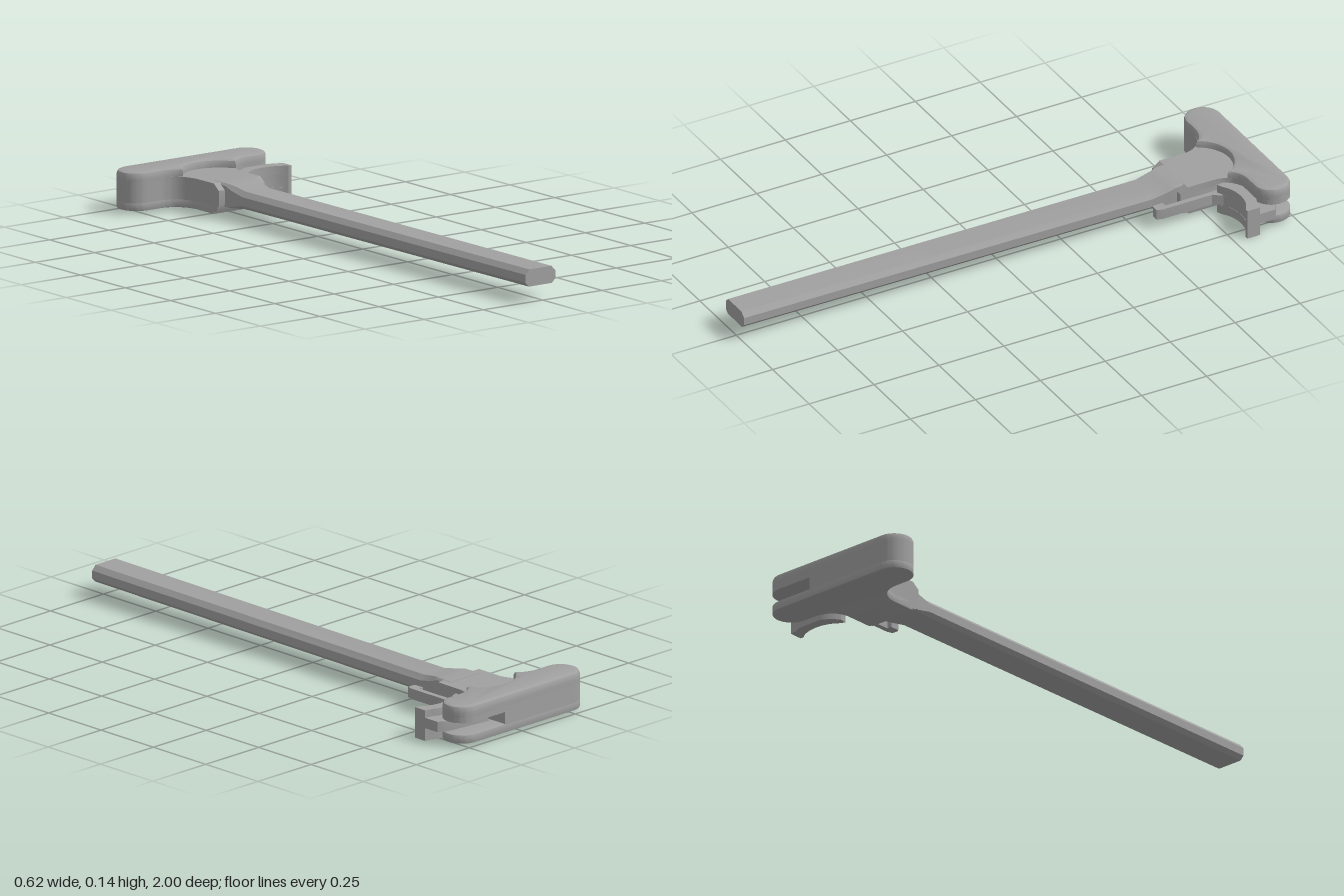
import * as THREE from 'three';
import { toCreasedNormals } from 'three/addons/utils/BufferGeometryUtils.js';

const metal = new THREE.MeshStandardMaterial({ color: 0xa0a0a0 });
metal.name = 'grey metal';

function part(name, geometry) {
  const mesh = new THREE.Mesh(toCreasedNormals(geometry, 0.5), metal);
  mesh.name = name;
  return mesh;
}

// Horizontal slab: plan drawn as (x, distance towards the back), from y0 to y1
function slab(name, shape, y0, y1, bevel = 0) {
  const g = new THREE.ExtrudeGeometry(shape, {
    depth: y1 - y0 - 2 * bevel, curveSegments: 14, bevelEnabled: bevel > 0,
    bevelSize: bevel, bevelThickness: bevel, bevelOffset: -bevel, bevelSegments: 2,
  });
  g.rotateX(-Math.PI / 2);
  g.translate(0, y0 + bevel, 0);
  return part(name, g);
}

function polygon(points) {
  return new THREE.Shape(points.map(([x, y]) => new THREE.Vector2(x, y)));
}

// Plan of the grip: rounded ends, with a middle edge chosen by kind
function gripPlan(kind) {
  const s = new THREE.Shape();
  const r = 0.065, c = 0.935;
  s.moveTo(-0.235, 1);
  s.absarc(-0.245, c, r, Math.PI / 2, Math.PI * 1.5, false);
  s.lineTo(-0.19, 0.87);
  if (kind === 'rim') {
    s.quadraticCurveTo(-0.145, 0.868, -0.12, 0.838);
    s.bezierCurveTo(-0.07, 0.925, 0.05, 0.925, 0.1, 0.835);
  } else {
    s.bezierCurveTo(-0.14, 0.868, -0.105, 0.83, -0.105, 0.77);
    s.lineTo(-0.105, 0.69);
    s.lineTo(0.09, 0.69);
    s.lineTo(0.09, 0.8);
  }
  if (kind === 'core') {
    s.lineTo(0.08, 0.84);
    s.lineTo(0.08, 1);
  } else {
    if (kind === 'rim') s.quadraticCurveTo(0.125, 0.868, 0.17, 0.87);
    else s.quadraticCurveTo(0.1, 0.865, 0.17, 0.87);
    s.lineTo(0.22, 0.87);
    s.absarc(0.22, c, r, -Math.PI / 2, Math.PI / 2, false);
  }
  s.closePath();
  return s;
}

// Long bar lofted through eight-sided sections
function barGeometry() {
  // z, left x, right x, bottom y, top y, top chamfer x, top chamfer y, bottom chamfer
  const sections = [
    [-0.72, -0.08, 0.065, 0.042, 0.122, 0.004, 0.004, 0.003],
    [-0.655, -0.08, 0.065, 0.042, 0.122, 0.008, 0.008, 0.003],
    [-0.63, -0.077, 0.06, 0.042, 0.118, 0.012, 0.015, 0.004],
    [-0.57, -0.074, 0.055, 0.047, 0.107, 0.016, 0.017, 0.013],
    [1, -0.072, 0.053, 0.056, 0.115, 0.016, 0.017, 0.014],
  ];
  const rings = sections.map(([z, l, r, b, t, cx, cy, d]) => [
    [l + d, b, z], [r - d, b, z], [r, b + d, z], [r, t - cy, z],
    [r - cx, t, z], [l + cx, t, z], [l, t - cy, z], [l, b + d, z],
  ]);
  const pos = [];
  const tri = (a, b, c) => pos.push(...a, ...b, ...c);
  for (let i = 0; i + 1 < rings.length; i++) {
    for (let k = 0; k < 8; k++) {
      const n = (k + 1) % 8, p = rings[i], q = rings[i + 1];
      tri(p[k], p[n], q[n]);
      tri(p[k], q[n], q[k]);
    }
  }
  const front = rings[rings.length - 1], back = rings[0];
  for (let k = 1; k < 7; k++) {
    tri(front[0], front[k], front[k + 1]);
    tri(back[0], back[k + 1], back[k]);
  }
  const g = new THREE.BufferGeometry();
  g.setAttribute('position', new THREE.Float32BufferAttribute(pos, 3));
  g.computeVertexNormals();
  return g;
}

// Curved finger paddle plan
function paddlePlan() {
  const s = new THREE.Shape();
  s.moveTo(0.108, 0.79);
  s.lineTo(0.13, 0.8);
  s.bezierCurveTo(0.17, 0.835, 0.25, 0.835, 0.292, 0.797);
  s.lineTo(0.305, 0.797);
  s.lineTo(0.305, 0.845);
  s.lineTo(0.28, 0.85);
  s.lineTo(0.25, 0.862);
  s.lineTo(0.16, 0.862);
  s.quadraticCurveTo(0.125, 0.85, 0.105, 0.815);
  s.closePath();
  return s;
}

export function createModel() {
  const model = new THREE.Group();
  model.name = 'pullHandle';

  const bar = part('bar', barGeometry());
  model.add(bar);

  // Grip: layers leave a slot at the left end for the lever
  const grip = new THREE.Group();
  grip.name = 'grip';
  grip.add(
    slab('gripBase', gripPlan('full'), 0.015, 0.045, 0.003),
    slab('gripCore', gripPlan('core'), 0.038, 0.095),
    slab('gripUpper', gripPlan('full'), 0.088, 0.12),
    slab('gripRim', gripPlan('rim'), 0.095, 0.147, 0.013),
  );
  model.add(grip);

  // Neck block with sloped front edges, extruded across x
  const neck = new THREE.ExtrudeGeometry(polygon([
    [0.66, 0.05], [0.675, 0.022], [0.8, 0.018], [0.8, 0.12], [0.688, 0.121], [0.66, 0.1],
  ]), { depth: 0.195, bevelEnabled: false });
  neck.rotateY(Math.PI / 2);
  neck.translate(-0.105, 0, 0);
  model.add(part('neck', neck));

  // Latch lever: paddle in three layers, notched by the arm, with a tail in the slot
  const lever = new THREE.Group();
  lever.name = 'latchLever';
  const notched = polygon([
    [0.13, 0.8], [0.155, 0.817], [0.18, 0.825], [0.21, 0.827], [0.24, 0.825], [0.27, 0.814],
    [0.292, 0.797], [0.305, 0.797], [0.305, 0.845], [0.28, 0.85], [0.25, 0.862], [0.13, 0.862],
  ]);
  lever.add(
    slab('paddleLower', paddlePlan(), 0.002, 0.036),
    slab('paddleMiddle', notched, 0.036, 0.08),
    slab('paddleUpper', paddlePlan(), 0.08, 0.11),
    slab('leverTail', polygon([
      [0.09, 0.8], [0.14, 0.82], [0.305, 0.84], [0.305, 0.905], [0.28, 0.92], [0.1, 0.94],
    ]), 0.047, 0.084),
    slab('leverArm', polygon([
      [0.073, 0.565], [0.08, 0.56], [0.103, 0.56], [0.11, 0.58], [0.11, 0.77], [0.135, 0.805],
      [0.135, 0.85], [0.085, 0.85], [0.091, 0.77], [0.091, 0.6], [0.073, 0.6],
    ]), 0.04, 0.077),
  );
  model.add(lever);

  return model;
}
